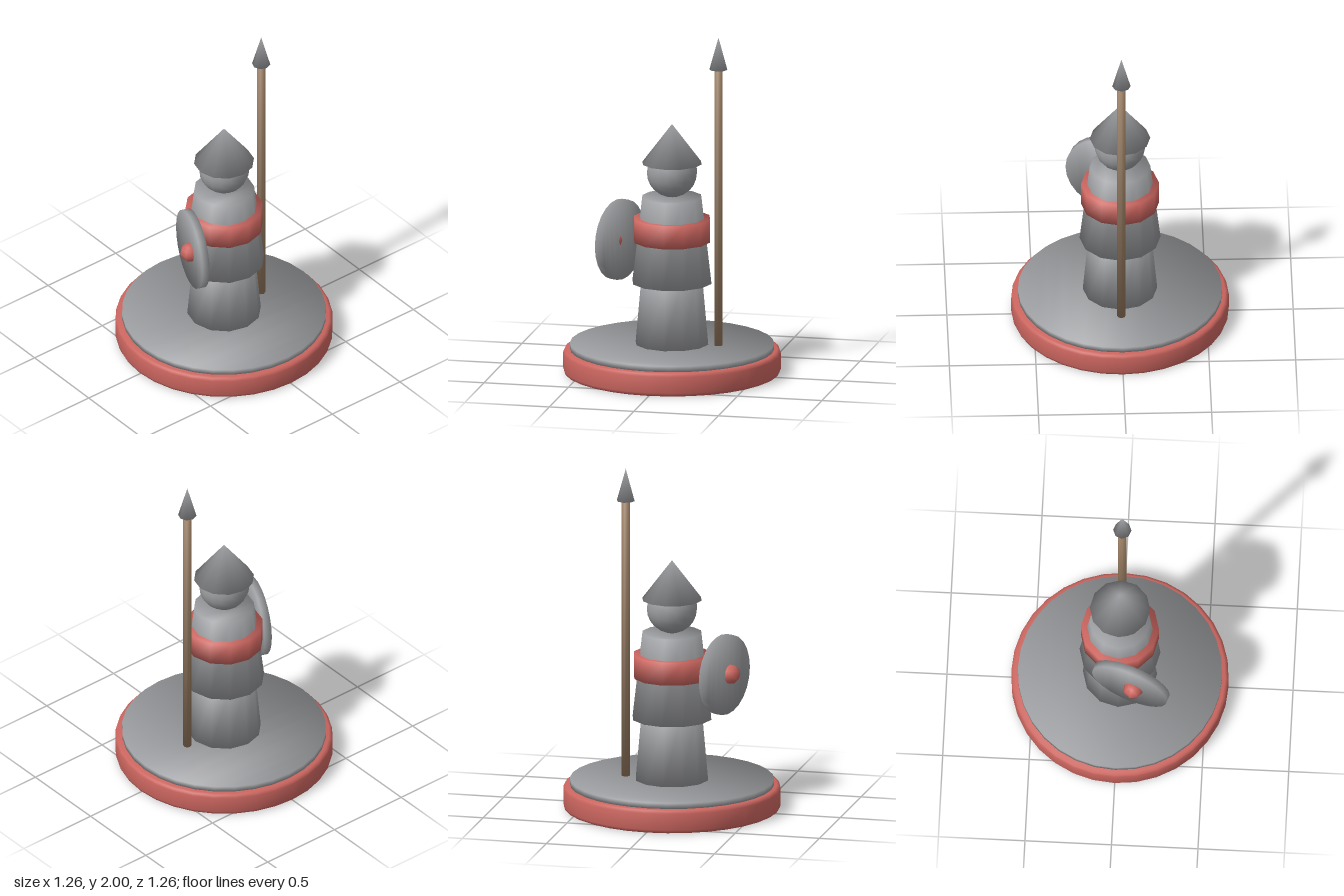
import * as THREE from 'three';

const paint = (name, color) => {
  const m = new THREE.MeshStandardMaterial({ color });
  m.name = name;
  return m;
};

// Angle-weighted smooth normals over shared corners
function smoothNormals(geo) {
  const pos = geo.attributes.position, idx = geo.index.array;
  const sums = Array.from({ length: pos.count }, () => new THREE.Vector3());
  for (let t = 0; t < idx.length; t += 3) {
    const tri = [0, 1, 2].map(k => new THREE.Vector3().fromBufferAttribute(pos, idx[t + k]));
    const n = new THREE.Triangle(...tri).getNormal(new THREE.Vector3());
    for (let k = 0; k < 3; k++) {
      const u = tri[(k + 1) % 3].clone().sub(tri[k]);
      const v = tri[(k + 2) % 3].clone().sub(tri[k]);
      sums[idx[t + k]].addScaledVector(n, u.angleTo(v));
    }
  }
  const out = sums.flatMap(n => n.normalize().toArray());
  geo.setAttribute('normal', new THREE.Float32BufferAttribute(out, 3));
  return geo;
}

// Closed turned solid from [radius, y] rings, bottom to top; a last radius of 0 is a point
function turned(profile, sides) {
  const verts = [], index = [];
  for (const [r, y] of profile) {
    for (let j = 0; j < (r ? sides : 1); j++) {
      const a = (j / sides) * Math.PI * 2;
      verts.push(r * Math.sin(a), y, r * Math.cos(a));
    }
  }
  const last = profile.length - 1, pointed = profile[last][0] === 0;
  for (let i = 0; i < last; i++) {
    for (let j = 0; j < sides; j++) {
      const k = (j + 1) % sides, low = i * sides, high = low + sides;
      if (pointed && i === last - 1) index.push(low + j, low + k, high);
      else index.push(low + j, low + k, high + k, low + j, high + k, high + j);
    }
  }
  // Flat end caps, zigzagging across the ring
  for (let l = 0, h = sides - 1; h - l > 1; l++, h--) {
    const tris = [[l, l + 1, h]];
    if (h - l > 2) tris.push([l + 1, h - 1, h]);
    for (const [a, b, c] of tris) {
      index.push(a, c, b);
      const top = last * sides;
      if (!pointed) index.push(top + a, top + b, top + c);
    }
  }
  const geo = new THREE.BufferGeometry();
  geo.setAttribute('position', new THREE.Float32BufferAttribute(verts, 3));
  geo.setIndex(index);
  return smoothNormals(geo);
}

export function createModel() {
  const model = new THREE.Group();
  model.name = 'guardFigure';
  const grey = paint('stone grey', 0x9b9c9f);
  const red = paint('team red', 0xcb655f);
  const wood = paint('spear wood', 0x967a5f);

  const add = (name, geo, mat, parent = model) => {
    const mesh = new THREE.Mesh(geo, mat);
    mesh.name = name;
    parent.add(mesh);
    return mesh;
  };

  // Round stand
  add('base', turned([[0.608, 0], [0.622, 0.006], [0.628, 0.022],
    [0.628, 0.118], [0.622, 0.134], [0.608, 0.14]], 32), red);
  add('baseTop', turned([[0.59, 0.14], [0.59, 0.173]], 32), grey);

  // Body
  add('robe', turned([[0.215, 0.172], [0.18, 0.56]], 12), grey);
  add('tunic', turned([[0.234, 0.535], [0.175, 1.042]], 12), grey);
  add('belt', turned([[0.226, 0.78], [0.226, 0.916]], 12), red);

  // Head and pointed helmet
  add('head', new THREE.SphereGeometry(0.147, 16, 12), grey).position.y = 1.188;
  add('helmet', turned([[0.175, 1.24], [0, 1.472]], 12), grey);

  // Spear on the left side
  const spear = new THREE.Group();
  spear.name = 'spear';
  spear.position.x = 0.275;
  add('spearShaft', turned([[0.024, 0.17], [0.024, 1.812]], 8), wood, spear);
  add('spearHead', turned([[0.053, 1.81], [0, 2]], 8), grey, spear);
  model.add(spear);

  // Round shield on the right side, turned slightly backwards
  const shield = new THREE.Group();
  shield.name = 'shield';
  shield.position.set(-0.292, 0.79, 0.077);
  shield.rotation.y = -0.343;
  add('shieldDisc', turned([[0.234, -0.022], [0.234, 0.022]], 24), grey, shield)
    .rotation.z = Math.PI / 2;
  add('shieldBoss', new THREE.SphereGeometry(0.057, 8, 6), red, shield)
    .position.set(-0.027, 0, 0.026);
  model.add(shield);

  return model;
}
